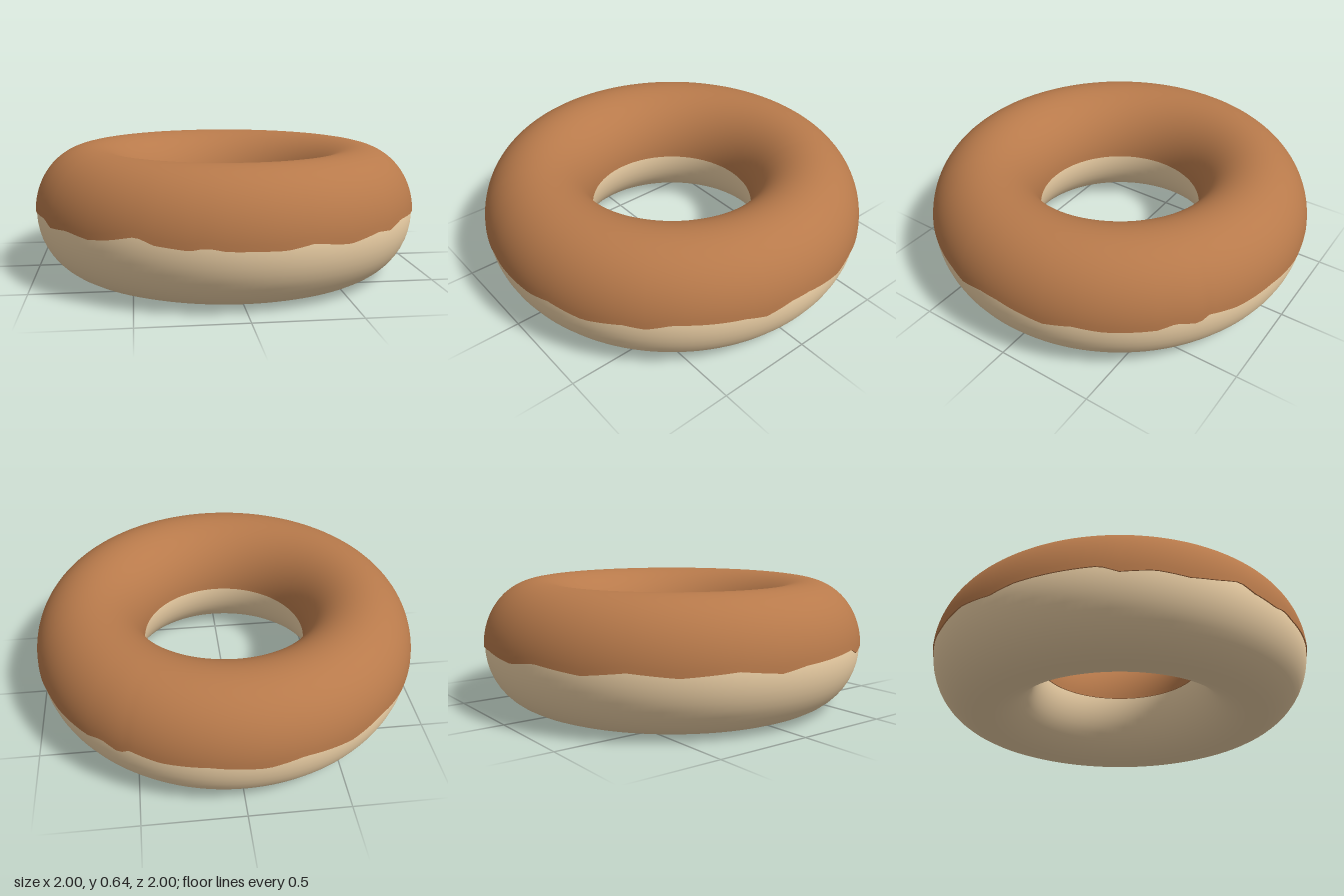
import * as THREE from 'three';
import { toCreasedNormals } from 'three/addons/utils/BufferGeometryUtils.js';

const RING = 0.715;          // radius of the ring's centre line
const MID = 0.316;           // height of the ring's centre line
const DOUGH = [0.279, 0.316]; // half width and half height of the section
const ICING = [0.285, 0.329];

// Height of the icing's outer hem by angle, in degrees from the front towards +x
const HEM = [
  [-90, .33], [-67, .345], [-62, .315], [-53, .33], [-44, .315], [-37, .33], [-29, .36],
  [-24, .33], [-15, .315], [-11, .33], [-6, .315], [9, .31], [16, .33], [27, .305],
  [38, .33], [44, .32], [51, .35], [70, .335], [76, .315], [84, .345], [90, .345],
  [99, .32], [104, .305], [112, .325], [120, .31], [134, .31], [139, .335], [145, .305],
  [148, .34], [157, .32], [170, .33], [185, .31], [195, .335], [210, .31], [222, .335],
  [235, .315], [250, .335], [262, .31], [270, .33],
];

function hemHeight(deg) {
  const k = Math.max(1, HEM.findIndex(([d]) => d >= deg));
  const [d0, y0] = HEM[k - 1], [d1, y1] = HEM[k];
  return THREE.MathUtils.lerp(y0, y1, (deg - d0) / (d1 - d0));
}

// Shell over the upper half of the ring, with a thin lip turned in at both edges
function icingGeometry(segments = 180, rows = 36) {
  const positions = [], index = [], count = rows + 3;
  for (let i = 0; i < segments; i++) {
    const deg = -90 + 360 * i / segments;
    const theta = THREE.MathUtils.degToRad(deg);
    const start = Math.asin((hemHeight(deg) - MID) / ICING[1]);
    const end = Math.PI - 0.03;
    for (let j = 0; j < count; j++) {
      const lip = j === 0 || j === count - 1;
      const t = THREE.MathUtils.clamp((j - 1) / rows, 0, 1);
      const phi = THREE.MathUtils.lerp(start, end, t);
      const inset = lip ? 0.01 : 0;
      const r = RING + (ICING[0] - inset) * Math.cos(phi);
      const y = MID + ICING[1] * Math.sin(phi);
      positions.push(r * Math.sin(theta), y, r * Math.cos(theta));
      if (j < count - 1) {
        const a = i * count + j, b = ((i + 1) % segments) * count + j;
        index.push(a, b, b + 1, a, b + 1, a + 1);
      }
    }
  }
  const geometry = new THREE.BufferGeometry();
  geometry.setAttribute('position', new THREE.Float32BufferAttribute(positions, 3));
  geometry.setIndex(index);
  return toCreasedNormals(geometry, 0.7);
}

export function createModel() {
  const group = new THREE.Group();
  group.name = 'doughnut';

  // Dough ring, a little taller than wide in section
  const doughGeometry = new THREE.TorusGeometry(RING, DOUGH[0], 48, 128);
  doughGeometry.rotateX(Math.PI / 2);
  doughGeometry.scale(1, DOUGH[1] / DOUGH[0], 1);
  const dough = new THREE.Mesh(doughGeometry, new THREE.MeshStandardMaterial({ color: 0xf0d3a8 }));
  dough.name = 'dough';
  dough.position.y = MID;

  // Icing with a wavy outer hem
  const icing = new THREE.Mesh(icingGeometry(), new THREE.MeshStandardMaterial({ color: 0xb87a4b }));
  icing.name = 'icing';

  group.add(dough, icing);
  return group;
}
